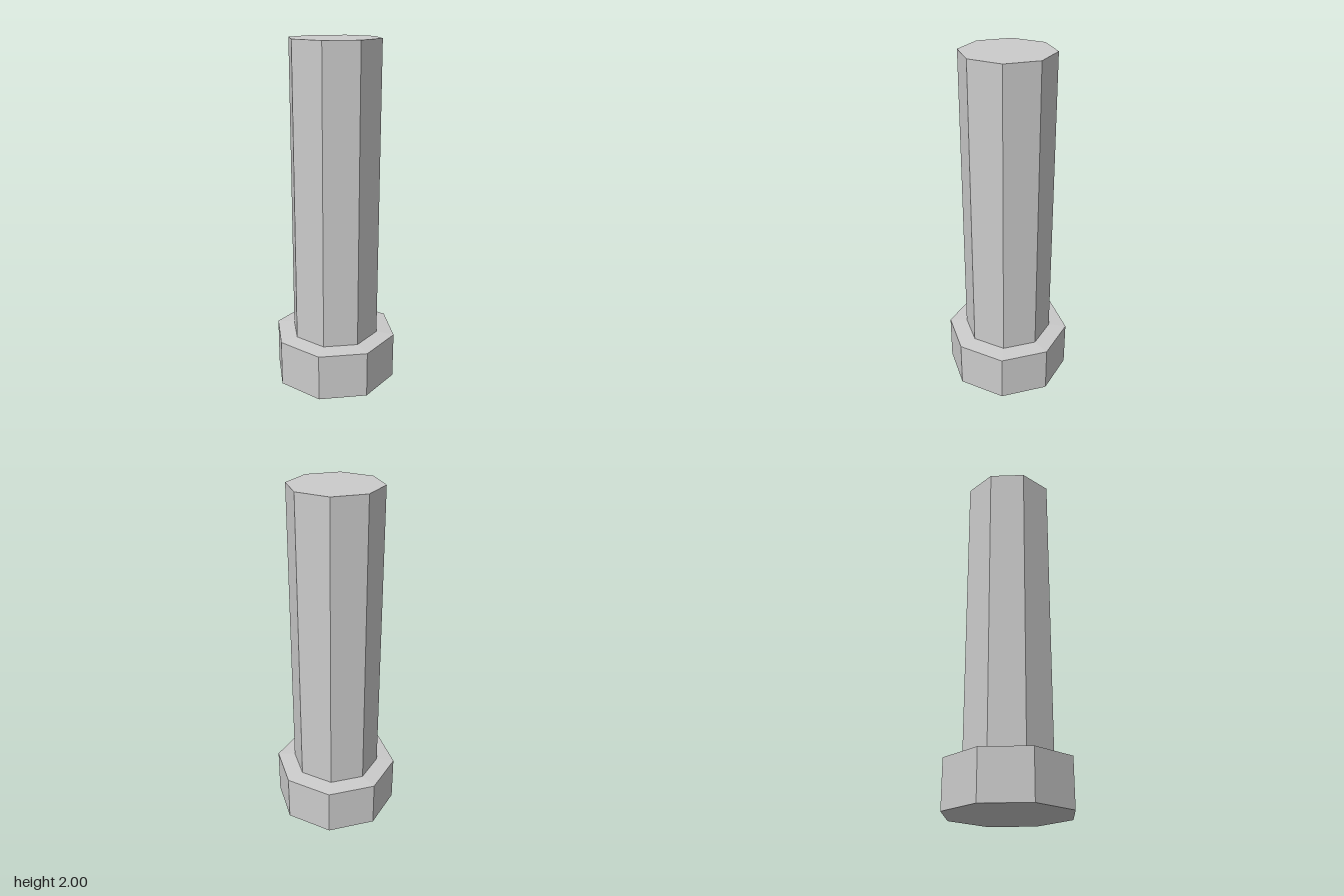
import * as THREE from 'three';

const SIDES = 8;
const HEAD_RADIUS = 0.365, HEAD_HEIGHT = 0.275;
const SHAFT_RADIUS = 0.26, SHAFT_BASE = 0.283, TOP = 2;

export function createModel() {
  const group = new THREE.Group();
  group.name = 'bolt';
  const material = new THREE.MeshStandardMaterial({ color: 0xcccccc, flatShading: true });

  // Octagonal solid turned from a short [radius, height] profile, bottom to top
  const addPart = (name, profile) => {
    const points = profile.map(([r, y]) => new THREE.Vector2(r, y));
    const mesh = new THREE.Mesh(new THREE.LatheGeometry(points, SIDES), material);
    mesh.name = name;
    group.add(mesh);
  };

  // Head with a slightly raised shoulder that meets the shaft
  addPart('head', [[0, 0], [HEAD_RADIUS, 0], [HEAD_RADIUS, HEAD_HEIGHT], [SHAFT_RADIUS, SHAFT_BASE]]);

  // Plain shaft with a flat end
  addPart('shaft', [[SHAFT_RADIUS, SHAFT_BASE], [SHAFT_RADIUS, TOP], [0, TOP]]);

  return group;
}
